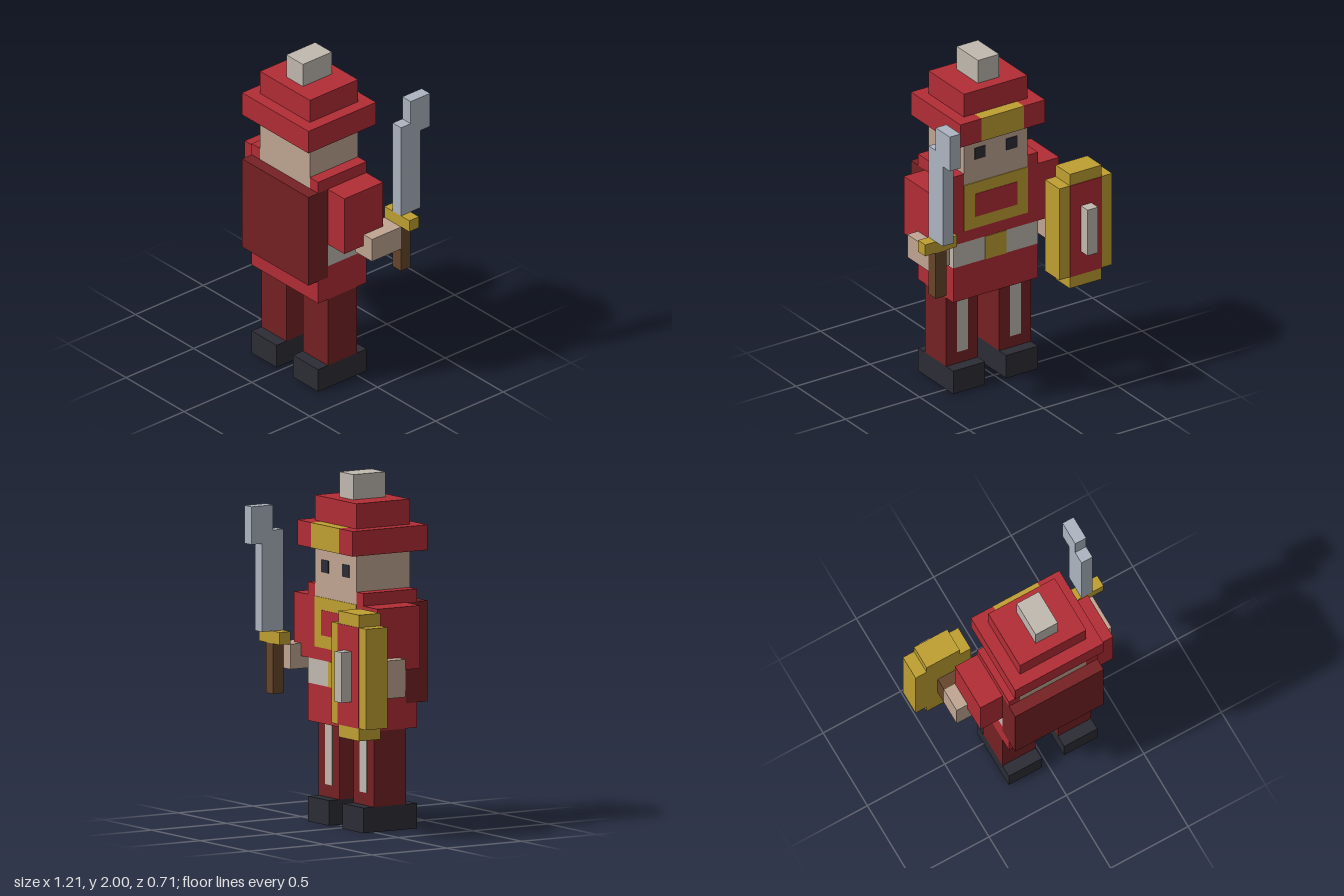
import * as THREE from 'three';

const U = 2 / 28; // one block of the grid
const PLATE = 0.06; // painted plate thickness, in blocks

const paint = (name, color) => {
  const m = new THREE.MeshStandardMaterial({ color });
  m.name = name;
  return m;
};

export function createModel() {
  const red = paint('red', 0xb22d35);
  const maroon = paint('maroon', 0x752123);
  const charcoal = paint('charcoal', 0x2c2d35);
  const gold = paint('gold', 0xbf9f32);
  const steel = paint('steel', 0xadb5c0);
  const brown = paint('brown', 0x66452b);
  const skin = paint('skin', 0xc0a592);
  const pale = paint('pale', 0xc0b9af);

  const model = new THREE.Group();
  model.name = 'soldier';
  const group = (name) => {
    const g = new THREE.Group();
    g.name = name;
    model.add(g);
    return g;
  };

  // Block spanning [from, to] on each axis, in grid units
  const box = (parent, name, mat, [x0, x1], [y0, y1], [z0, z1]) => {
    const geo = new THREE.BoxGeometry((x1 - x0) * U, (y1 - y0) * U, (z1 - z0) * U);
    const mesh = new THREE.Mesh(geo, mat);
    mesh.position.set((x0 + x1) / 2 * U, (y0 + y1) / 2 * U, (z0 + z1) / 2 * U);
    mesh.name = name;
    parent.add(mesh);
  };
  // Thin painted plate lying on a face that looks towards -z
  const plate = (parent, name, mat, x, y, z, layer = 1) =>
    box(parent, name, mat, x, y, [z - PLATE * layer, z + PLATE / 2]);

  // Legs with boots and a pale front stripe
  for (const [side, x] of [['right', -3.5], ['left', 1.5]]) {
    const leg = group(side + 'Leg');
    box(leg, 'boot', charcoal, [x, x + 3], [0, 2], [-1, 4]);
    box(leg, 'trouser', maroon, [x, x + 3], [2, 8], [0, 3]);
    plate(leg, 'trouserStripe', pale, [x + 1, x + 2], [3, 8], 0);
  }

  // Torso
  const torso = group('torso');
  const wide = [-3.5, 4.5];
  box(torso, 'skirt', red, wide, [8, 10], [-1, 4]);
  box(torso, 'waist', red, wide, [10, 11], [-1, 3]);
  box(torso, 'belt', pale, wide, [11, 13], [-1, 3]);
  plate(torso, 'buckle', gold, [-0.5, 1.5], [11, 13], -1);
  box(torso, 'chest', red, wide, [13, 18], [-1, 3]);
  plate(torso, 'chestTrim', gold, [-2.5, 3.5], [14, 18], -1);
  plate(torso, 'chestPanel', red, [-1.5, 2.5], [15, 17], -1, 1.6);
  for (const x of [-3.5, 3.5]) box(torso, 'collar', red, [x, x + 1], [18, 19], [-1, 4]);
  box(torso, 'backpack', maroon, wide, [10, 18], [3, 5]);

  // Arms and hands
  const arms = group('arms');
  box(arms, 'rightSleeve', red, [-5.5, -3.5], [13, 18], [-1, 3]);
  box(arms, 'leftSleeve', red, [4.5, 6.5], [13, 18], [-1, 3]);
  box(arms, 'rightHand', skin, [-6.5, -4.5], [11, 14], [-1, 1]);
  box(arms, 'leftHand', skin, [5.5, 7.5], [12, 14], [-2, 1]);

  // Head
  const head = group('head');
  box(head, 'face', skin, [-2.5, 3.5], [18, 22], [-1, 4]);
  for (const x of [-1.5, 1.5]) plate(head, 'eye', charcoal, [x, x + 1], [20, 21], -1);

  // Hat with gold front band and pompom
  const hat = group('hat');
  box(hat, 'brim', red, wide, [22, 24], [-1, 5]);
  box(hat, 'brimFrontRight', red, [-3.5, -1.5], [22, 24], [-2, -1]);
  box(hat, 'brimBadge', gold, [-1.5, 2.5], [22, 24], [-2, -1]);
  box(hat, 'brimFrontLeft', red, [2.5, 4.5], [22, 24], [-2, -1]);
  box(hat, 'crown', red, [-2.5, 3.5], [24, 26], [-1, 4]);
  box(hat, 'pompom', pale, [-0.5, 1.5], [26, 28], [0, 3]);

  // Sword
  const sword = group('sword');
  box(sword, 'grip', brown, [6.5, 7.5], [10, 14], [-3, -2]);
  box(sword, 'guard', gold, [5.5, 8.5], [14, 15], [-3, -2]);
  box(sword, 'blade', steel, [6.5, 7.5], [15, 22], [-4, -2]);
  box(sword, 'bladeBack', steel, [6.5, 7.5], [22, 23], [-3, -2]);
  box(sword, 'bladeTip', steel, [6.5, 7.5], [22, 25], [-5, -3]);

  // Shield
  const shield = group('shield');
  box(shield, 'strap', brown, [-6.5, -4.5], [11, 14], [-2, -1]);
  box(shield, 'centre', gold, [-7.5, -4.5], [8, 18], [-4, -2]);
  for (const x of [-8.5, -4.5]) box(shield, 'rim', gold, [x, x + 1], [9, 17], [-4, -2]);
  plate(shield, 'panel', red, [-7.5, -4.5], [9, 17], -4);
  box(shield, 'boss', pale, [-6.5, -5.5], [11, 15], [-5, -4]);

  return model;
}
